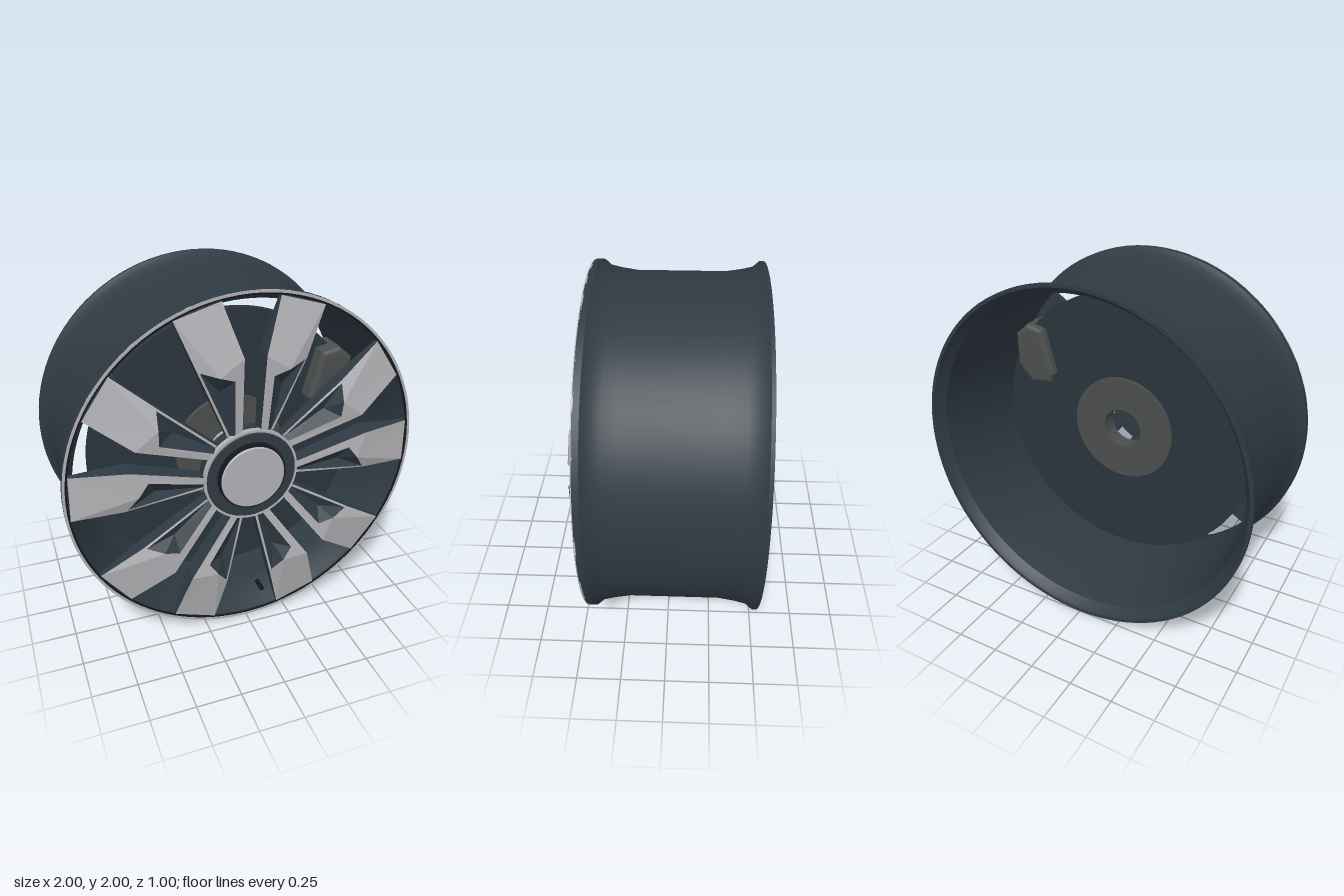
import * as THREE from 'three';
import { toCreasedNormals } from 'three/addons/utils/BufferGeometryUtils.js';

const mat = (name, color) => Object.assign(new THREE.MeshStandardMaterial({ color }), { name });

export function createModel() {
  const rimDark = mat('rim dark', 0x2f3a43);
  const discDark = mat('disc dark', 0x2b343c);
  const silver = mat('silver', 0xb2b2b6);
  const grey = mat('caliper grey', 0x4b4e4d);
  const black = mat('groove black', 0x14181b);

  const wheel = new THREE.Group();
  wheel.name = 'wheel';
  wheel.position.y = 1;

  const add = (name, geometry, material, parent = wheel) => {
    const mesh = new THREE.Mesh(geometry, material);
    mesh.name = name;
    parent.add(mesh);
    return mesh;
  };

  // Turned part around the z axis; profile of [radius, z], outside first going forward
  const turned = (name, profile, material) => {
    const points = profile.map(([r, z]) => new THREE.Vector2(r, z));
    const geometry = new THREE.LatheGeometry(points, 96).rotateX(Math.PI / 2);
    return add(name, toCreasedNormals(geometry, 0.5), material);
  };
  const ring = (name, inner, outer, back, front, material) => turned(name,
    [[inner, back], [outer, back], [outer, front], [inner, front], [inner, back]], material);

  // Barrel with flared lips
  turned('barrel', [
    [0.98, -0.5], [1, -0.5], [1, -0.48], [0.97, -0.445], [0.955, -0.38], [0.942, -0.29],
    [0.942, 0.2], [0.955, 0.29], [0.97, 0.355], [1, 0.39], [1, 0.425],
    [0.978, 0.425], [0.972, 0.4], [0.935, 0.34], [0.916, 0.2],
    [0.916, -0.29], [0.94, -0.44], [0.972, -0.48], [0.98, -0.5],
  ], rimDark);
  ring('lipEdge', 0.986, 1, 0.42, 0.43, silver);
  ring('lipGroove', 0.976, 0.986, 0.42, 0.427, black);

  // Brake disc and its hat
  ring('brakeDisc', 0.3, 0.815, 0.045, 0.1, discDark);
  ring('discHat', 0.12, 0.32, 0.03, 0.13, grey);

  // Brake caliper
  const caliperShape = new THREE.Shape([
    [0.478, 0.205], [0.615, 0.185], [0.712, 0.285], [0.718, 0.483],
    [0.637, 0.555], [0.53, 0.532], [0.457, 0.265],
  ].map(([x, y]) => new THREE.Vector2(x, y)));
  add('brakeCaliper', new THREE.ExtrudeGeometry(caliperShape, {
    depth: 0.15, bevelThickness: 0.03, bevelSize: 0.03, bevelOffset: -0.03, bevelSegments: 3,
  }).translate(0, 0, 0.02), grey);

  // Valve stem
  add('valveStem', new THREE.CylinderGeometry(0.014, 0.014, 0.08, 12)
    .rotateX(Math.PI / 2).translate(0.135, -0.905, 0.31), black);

  // Hub and centre cap
  turned('hub', [[0, 0.37], [0.262, 0.37], [0.262, 0.462], [0.25, 0.472], [0.2, 0.472],
    [0.19, 0.462], [0, 0.462]], rimDark);
  ring('hubEdge', 0.255, 0.268, 0.44, 0.47, silver);
  ring('capGroove', 0.178, 0.19, 0.45, 0.49, black);
  turned('centreCap', [[0, 0.45], [0.18, 0.45], [0.18, 0.495], [0.174, 0.5], [0, 0.5]], silver);

  // Faceted faces from polygons; side = -1 mirrors them across the pair's middle
  const facets = (polygons, side) => {
    const out = [];
    for (const polygon of polygons) {
      const p = side < 0 ? [...polygon].reverse() : polygon;
      for (let i = 1; i < p.length - 1; i++)
        for (const [x, y, z] of [p[0], p[i], p[i + 1]]) out.push(x * side, y, z);
    }
    const geometry = new THREE.BufferGeometry();
    geometry.setAttribute('position', new THREE.Float32BufferAttribute(out, 3));
    geometry.computeVertexNormals();
    return geometry;
  };

  // Corners of one spoke: rib, broad tip, pocket and thin outer edge
  const ribIn = [0.052, 0.255, 0.46], ribOut = [0.092, 0.25, 0.46];
  const shoulder = [0.06, 0.683, 0.495], tipIn = [0.155, 0.962, 0.427], tipOut = [0.4, 0.89, 0.427];
  const bend = [0.105, 0.567, 0.49], peak = [0.188, 0.597, 0.5], elbow = [0.295, 0.629, 0.46];
  const elbowIn = [0.281, 0.625, 0.465], edgeIn = [0.117, 0.243, 0.44], edgeOut = [0.13, 0.238, 0.44];
  const floor = [0.17, 0.5, 0.435];

  const faces = [
    [ribIn, ribOut, bend, shoulder], [shoulder, bend, peak], [shoulder, peak, tipIn],
    [peak, tipOut, tipIn], [peak, elbow, tipOut], [edgeIn, edgeOut, elbow, elbowIn],
  ];
  const pocketRim = [ribOut, edgeIn, elbowIn, peak, bend];
  const pocket = pocketRim.map((p, i) => [p, pocketRim[(i + 1) % 5], floor]);
  const outline = [ribIn, edgeOut, elbow, tipOut, tipIn, shoulder];
  const backs = outline.map(([x, y]) => [x, y, Math.hypot(x, y) > 0.9 ? 0.4 : 0.38]);
  const body = outline.map((p, i) => {
    const j = (i + 1) % outline.length;
    return [p, backs[i], backs[j], outline[j]];
  });
  body.push([...backs].reverse());

  // Five mirrored pairs of spokes
  for (const side of [1, -1]) {
    const parts = [['spokeFace', faces, silver], ['spokePocket', pocket, rimDark], ['spokeBody', body, rimDark]]
      .map(([name, polygons, material]) => [name, facets(polygons, side), material]);
    for (let i = 0; i < 5; i++) {
      const spoke = new THREE.Group();
      spoke.name = side > 0 ? 'rightHandSpoke' : 'leftHandSpoke';
      spoke.rotation.z = i * Math.PI * 2 / 5;
      for (const [name, geometry, material] of parts) add(name, geometry, material, spoke);
      wheel.add(spoke);
    }
  }

  const model = new THREE.Group();
  model.name = 'model';
  model.add(wheel);
  return model;
}
